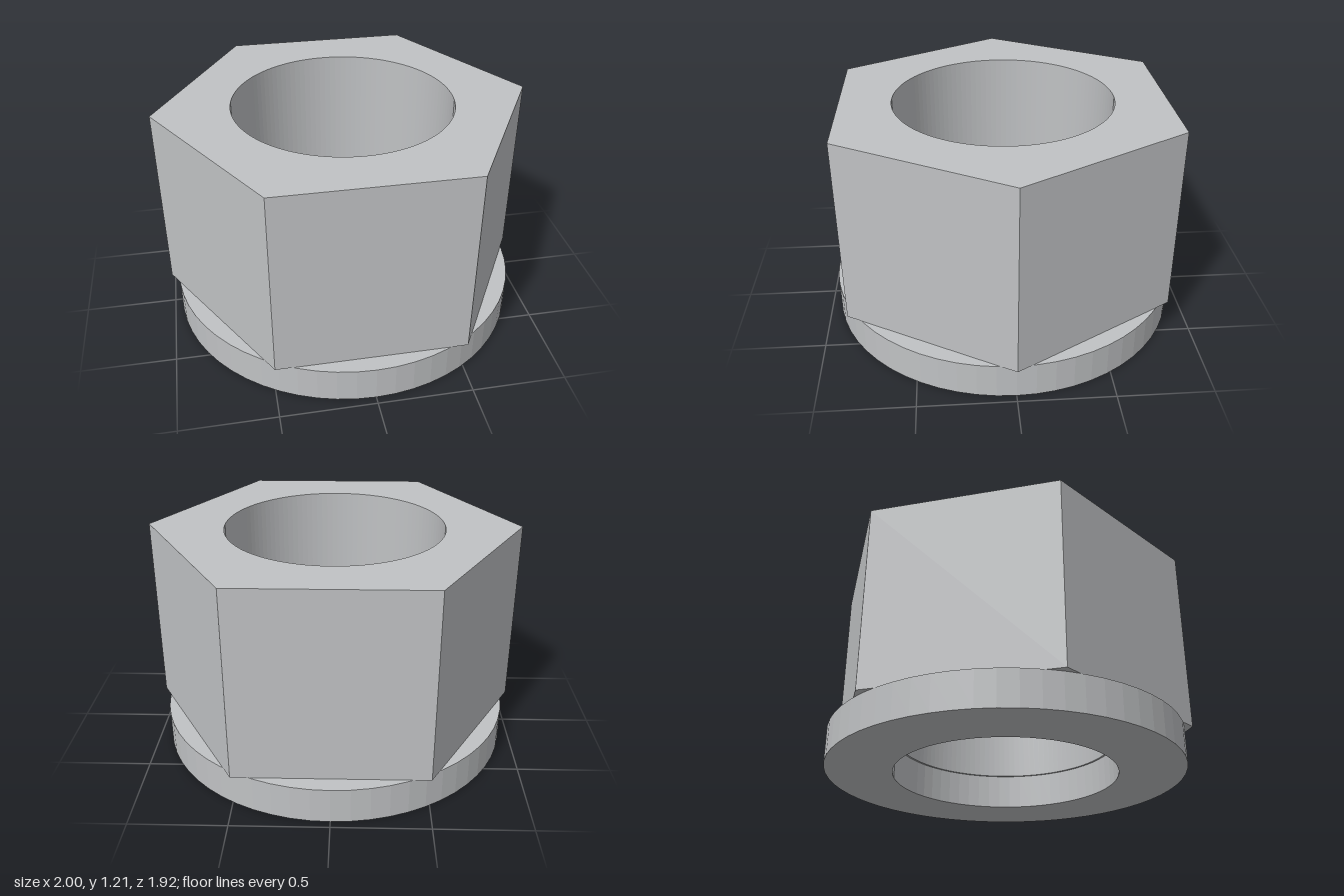
import * as THREE from 'three';

const WASHER_HEIGHT = 0.19;
const TOTAL_HEIGHT = 1.207;

// Upright prism with a regular outline and a round bore
function boredPrism(outerRadius, sides, boreRadius, boreSides, height) {
  const ring = (radius, count) => Array.from({ length: count }, (_, i) => {
    const a = (i / count) * Math.PI * 2;
    return new THREE.Vector2(Math.cos(a) * radius, Math.sin(a) * radius);
  });
  const shape = new THREE.Shape(ring(outerRadius, sides));
  shape.holes.push(new THREE.Path(ring(boreRadius, boreSides).reverse()));
  const geometry = new THREE.ExtrudeGeometry(shape, { depth: height, bevelEnabled: false });
  geometry.rotateX(-Math.PI / 2);
  return geometry;
}

export function createModel() {
  const group = new THREE.Group();
  group.name = 'flangeNut';
  const steel = new THREE.MeshStandardMaterial({ color: 0xc0c2c4 });
  steel.name = 'steel';

  // Round flange at the base, its bore slightly wider than the nut's
  const washer = new THREE.Mesh(boredPrism(0.958, 60, 0.603, 60, WASHER_HEIGHT), steel);
  washer.name = 'washer';

  // Hexagonal body with corners on the x axis
  const hexBody = new THREE.Mesh(
    boredPrism(1, 6, 0.59, 120, TOTAL_HEIGHT - WASHER_HEIGHT), steel);
  hexBody.name = 'hexBody';
  hexBody.position.y = WASHER_HEIGHT;

  group.add(washer, hexBody);
  return group;
}
